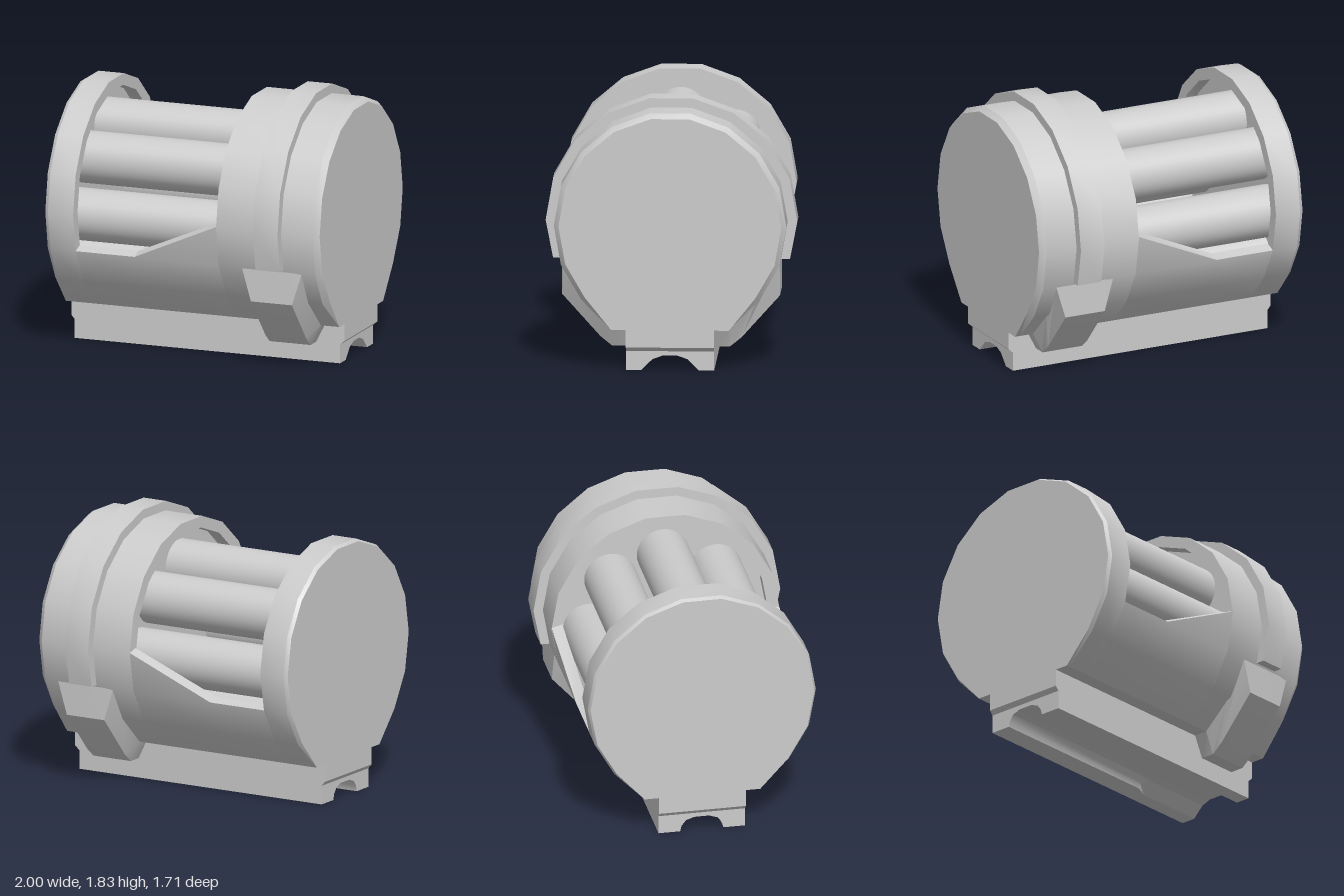
import * as THREE from 'three';
import { toCreasedNormals } from 'three/addons/utils/BufferGeometryUtils.js';

const material = new THREE.MeshStandardMaterial({ color: 0xcccccc });
const CY = 0.99; // height of the drum axis

// Mirrors half a section; points are [u, y] with u = -z, anticlockwise seen from +x
const mirror = (half) => [...half, ...half.map(([u, y]) => [-u, y]).reverse()];

// Closed solid through rings [x, section], all with the same number of points
function loft(rings) {
  const pos = [];
  const put = (...pts) => pts.forEach(([x, [u, y]]) => pos.push(x, y, -u));
  for (let k = 0; k + 1 < rings.length; k++) {
    const [xa, a] = rings[k], [xb, b] = rings[k + 1];
    for (let i = 0; i < a.length; i++) {
      const j = (i + 1) % a.length;
      put([xa, a[i]], [xa, a[j]], [xb, b[j]]);
      put([xa, a[i]], [xb, b[j]], [xb, b[i]]);
    }
  }
  const cap = ([x, s], flip) => {
    const faces = THREE.ShapeUtils.triangulateShape(s.map(([u, y]) => new THREE.Vector2(u, y)), []);
    for (const [i, j, k] of faces) put([x, s[i]], [x, s[flip ? k : j]], [x, s[flip ? j : k]]);
  };
  cap(rings[0], true);
  cap(rings[rings.length - 1], false);
  const g = new THREE.BufferGeometry();
  g.setAttribute('position', new THREE.Float32BufferAttribute(pos, 3));
  g.computeVertexNormals();
  return toCreasedNormals(g, 0.42);
}

// Points on the eighteen-sided drum outline, from a low angle up to the top flat
function arc(r, from) {
  const pts = [];
  for (let d = from; d <= 80; d += 20) {
    const t = THREE.MathUtils.degToRad(d);
    pts.push([r * Math.cos(t), CY + r * Math.sin(t)]);
  }
  return pts;
}
const drum = (r, foot = [0.4, 0.28]) => mirror([foot, ...arc(r, -40)]);

export function createModel() {
  const group = new THREE.Group();
  const add = (name, geometry) => {
    const mesh = new THREE.Mesh(geometry, material);
    mesh.name = name;
    group.add(mesh);
    return mesh;
  };

  // End cap and main housing, each with a recess facing the open bay
  const inner = drum(0.71, [0.36, 0.35]);
  add('endCap', loft([
    [-1, drum(0.775)], [-0.975, drum(0.79)], [-0.79, drum(0.79)], [-0.79, inner], [-0.88, inner],
  ]));
  add('housing', loft([
    [0.35, inner], [0.255, inner], [0.255, drum(0.79)], [0.96, drum(0.79)], [1, drum(0.757)],
  ]));

  // Open trough joining both ends, its rim rising toward the housing
  const trough = (rim, rimInner) => mirror([
    [0.4, 0.28], [0.605, 0.482], [0.742, 0.72], rim,
    rimInner, [0.667, 0.745], [0.544, 0.53], [0.36, 0.35],
  ]);
  const low = trough([0.743, 0.724], [0.67, 0.75]);
  add('trough', loft([
    [-0.79, low], [-0.36, low], [0.255, trough([0.79, 1.0], [0.715, 1.02])],
  ]));

  // Circle of rods in the bay
  for (let i = 0; i < 8; i++) {
    const t = (i * Math.PI) / 4;
    const rod = add('rod', new THREE.CylinderGeometry(0.18, 0.18, 1.27, 32));
    rod.rotation.z = Math.PI / 2;
    rod.position.set(-0.255, 0.93 + 0.515 * Math.cos(t), 0.515 * Math.sin(t));
  }

  // Raised band around the housing
  const band = mirror([[0.6, 0.73], [0.805, 0.73], ...arc(0.855, 0)]);
  add('band', loft([[0.55, band], [0.73, band]]));

  // Bevelled clamp on each side, below the band
  const clampEdge = [[0.3, 0.28], [0.4, 0.28], [0.59, 0.49], [0.735, 0.73], [0.74, 0.735], [0.3, 0.735]];
  const clampFace = [[0.3, 0.135], [0.4, 0.135], [0.48, 0.2], [0.74, 0.49], [0.74, 0.735], [0.3, 0.735]];
  for (const side of [1, -1]) {
    const turn = (s) => (side > 0 ? s : s.map(([u, y]) => [-u, y]).reverse());
    add('clamp', loft([
      [0.42, turn(clampEdge)], [0.49, turn(clampFace)], [0.79, turn(clampFace)], [0.865, turn(clampEdge)],
    ]));
  }

  // Base block with chamfered ends
  const block = (y) => mirror([[0.3, y], [0.3, 0.29]]);
  add('baseBlock', loft([
    [-1, block(0.16)], [-0.975, block(0.13)], [0.965, block(0.13)], [1, block(0.16)],
  ]));

  // Foot rail with an arched channel that widens toward one end
  const rail = (...arch) => mirror([[0.05, 0.1], ...arch, [0.3, 0], [0.3, 0.14]]);
  const narrow = rail([0.11, 0.08], [0.14, 0.04], [0.15, 0]);
  const wide = rail([0.12, 0.075], [0.15, 0.045], [0.195, 0]);
  add('footRail', loft([[-0.975, narrow], [0.35, narrow], [0.45, wide], [0.965, wide]]));

  return group;
}
